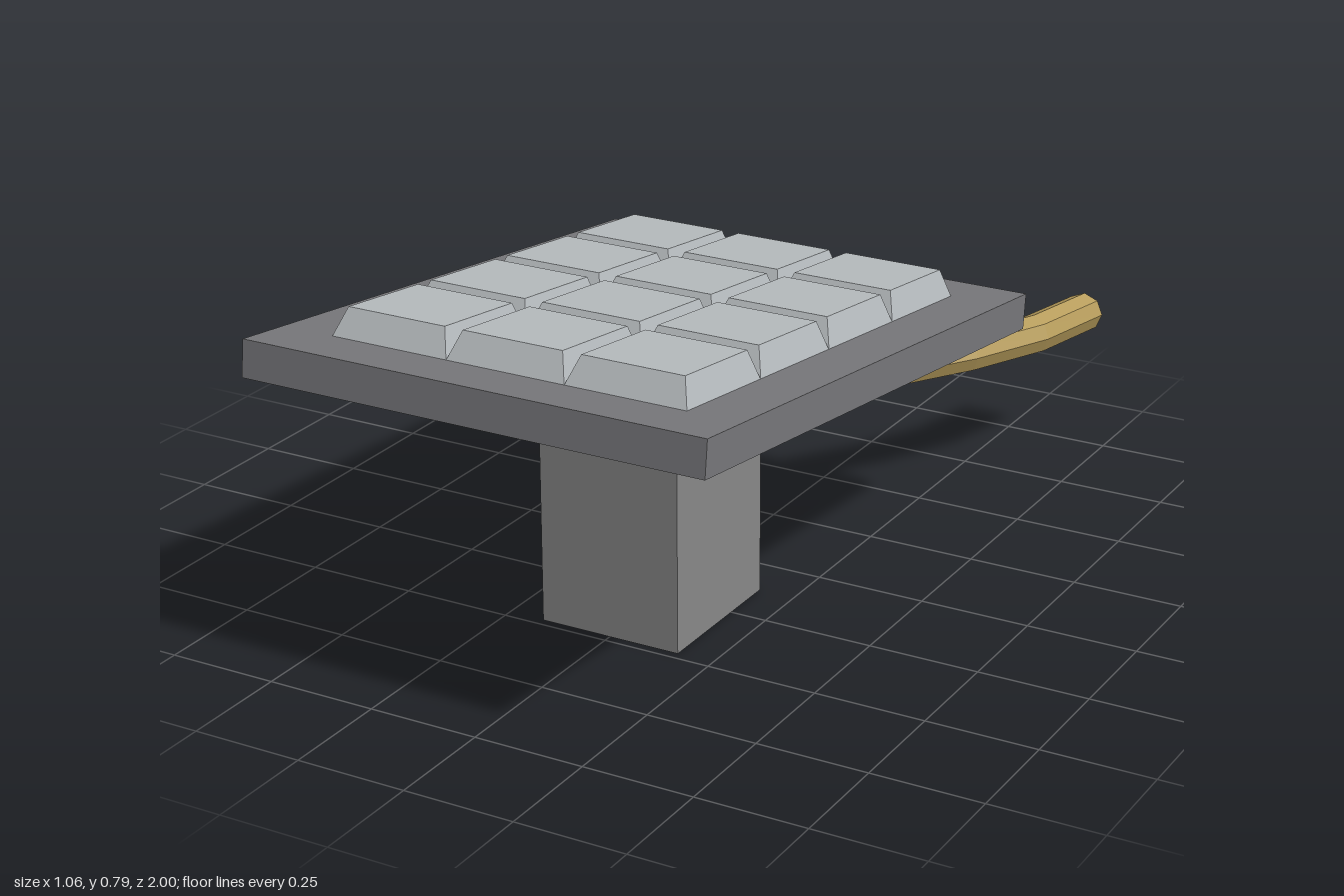
import * as THREE from 'three';

const paint = (color) => new THREE.MeshStandardMaterial({ color, flatShading: true });

function part(name, geometry, material, parent, x = 0, y = 0, z = 0) {
  const mesh = new THREE.Mesh(geometry, material);
  mesh.name = name;
  mesh.position.set(x, y, z);
  parent.add(mesh);
  return mesh;
}

// Box whose top face is narrower than its base
function keyGeometry(width, depth, height, topWidth, topDepth) {
  const geo = new THREE.BoxGeometry(width, height, depth);
  const p = geo.attributes.position;
  for (let i = 0; i < p.count; i++) {
    if (p.getY(i) > 0) {
      p.setX(i, Math.sign(p.getX(i)) * topWidth / 2);
      p.setZ(i, Math.sign(p.getZ(i)) * topDepth / 2);
    }
  }
  geo.computeVertexNormals();
  return geo;
}

// Capped eight-sided cylinder whose rings follow a list of centre points
function cableGeometry(points, radius) {
  const rows = points.length - 1;
  const geo = new THREE.CylinderGeometry(1, 1, 1, 8, rows);
  const p = geo.attributes.position;
  const sides = points.map((_, i) => {
    // the last ring is cut square to the back
    if (i === 0 || i === rows) return new THREE.Vector3(1, 0, 0);
    const t = points[i + 1].clone().sub(points[i - 1]);
    return new THREE.Vector3(-t.z, 0, t.x).normalize();
  });
  for (let i = 0; i < p.count; i++) {
    const row = Math.round((p.getY(i) + 0.5) * rows);
    const v = points[row].clone().addScaledVector(sides[row], radius * p.getX(i));
    v.y += radius * p.getZ(i);
    p.setXYZ(i, v.x, v.y, v.z);
  }
  geo.computeVertexNormals();
  return geo;
}

export function createModel() {
  const model = new THREE.Group();
  model.name = 'keypad';

  // Upright stem
  part('stem', new THREE.BoxGeometry(0.332, 0.5, 0.36), paint(0x888888), model, 0, 0.25, 0.3);

  // Tilted head: panel, mounting plate and keys
  const head = new THREE.Group();
  head.name = 'head';
  head.position.set(0, 0.621, 0.282);
  head.rotation.x = -0.12;
  model.add(head);
  part('panel', new THREE.BoxGeometry(1.056, 0.08, 1.441), paint(0x77777a), head);
  part('mountingPlate', new THREE.BoxGeometry(0.57, 0.109, 0.614), paint(0xbec5c1), head, 0, -0.0945, 0);

  const keys = new THREE.Group();
  keys.name = 'keys';
  head.add(keys);
  const keyShape = keyGeometry(0.272, 0.292, 0.06, 0.23, 0.245);
  const keyPaint = paint(0xb6bbbe);
  for (let row = 0; row < 4; row++) {
    for (let col = 0; col < 3; col++) {
      part('key', keyShape, keyPaint, keys, (col - 1) * 0.272, 0.07, (row - 1.5) * 0.293);
    }
  }

  // Cable curving away behind the stem
  const path = [
    [0.02, 0.322, 0.15], [0.03, 0.322, -0.02], [0.07, 0.322, -0.22], [0.17, 0.325, -0.44],
    [0.3, 0.329, -0.63], [0.39, 0.332, -0.81], [0.435, 0.334, -1],
  ].map((c) => new THREE.Vector3(...c));
  part('cable', cableGeometry(path, 0.047), paint(0xb79d5c), model);

  return model;
}
